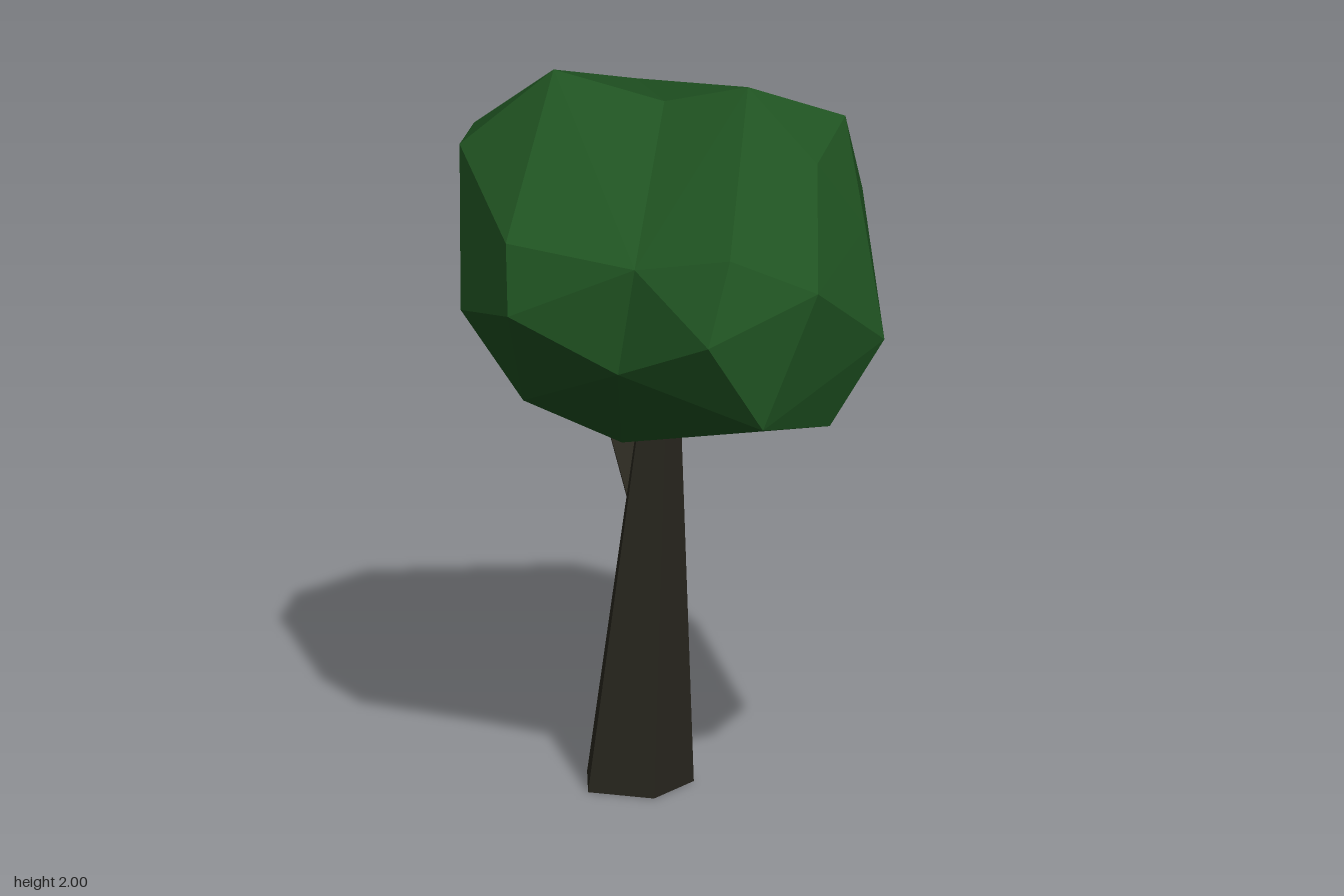
import * as THREE from 'three';
import { ConvexGeometry } from 'three/addons/geometries/ConvexGeometry.js';

const leafGreen = new THREE.MeshStandardMaterial({ color: 0x1f5221 });
const darkBark = new THREE.MeshStandardMaterial({ color: 0x2b2920 });

// Corner points of the foliage, including the low clump at the back
const FOLIAGE = [
  // crown
  [-0.25, 2.0, -0.12], [0.02, 1.92, 0], [0.2, 1.99, 0.16], [0.465, 1.89, 0.185], [0.06, 1.87, -0.355],
  // left side
  [0.545, 1.65, 0.09], [0.535, 1.66, -0.3], [0.535, 1.34, -0.3], [0.4, 1.7, -0.465], [0.38, 1.27, -0.01],
  // front
  [0.44, 1.39, 0.58], [0.21, 1.58, 0.71], [-0.09, 1.45, 0.685], [0.06, 1.21, 0.695], [0, 1.66, 0.6],
  [0.32, 1.83, 0.38], [0.455, 1.64, 0.38], [-0.25, 1.31, 0.41], [-0.21, 1.605, 0.43],
  // right side
  [-0.51, 1.455, 0.265], [-0.5, 1.645, 0.22], [-0.545, 1.39, -0.02], [-0.485, 1.79, -0.205], [-0.41, 1.16, 0.1],
  // back
  [-0.38, 1.78, -0.395], [-0.135, 1.81, -0.495], [0.13, 1.755, -0.48], [-0.2, 1.41, -0.46],
  // underside
  [-0.14, 1.02, 0.12], [0.1, 1.05, 0], [0.28, 1.08, 0.2], [0.29, 1.16, 0.57],
  [-0.05, 1.1, -0.19], [0.15, 1.12, -0.19], [-0.25, 1.25, -0.26],
  // back clump
  [-0.17, 1.17, -0.71], [0.14, 1.11, -0.67], [0.22, 1.335, -0.545], [-0.03, 1.47, -0.59],
  [-0.29, 1.13, -0.49], [0.04, 0.955, -0.45], [0.25, 1.2, -0.37],
].map((p) => new THREE.Vector3(...p));

// Flat facets: every triangle keeps its own normal
function faceted(geometry) {
  const flat = geometry.index ? geometry.toNonIndexed() : geometry;
  flat.computeVertexNormals();
  return flat;
}

// Connect the points on a sphere around a centre, then move each corner back to its true place
function starShape(points, centre) {
  const directions = points.map((p) => p.clone().sub(centre).normalize());
  const geometry = new ConvexGeometry(directions);
  const position = geometry.attributes.position;
  const v = new THREE.Vector3();
  for (let i = 0; i < position.count; i++) {
    v.fromBufferAttribute(position, i);
    let best = 0;
    directions.forEach((d, k) => {
      if (d.dot(v) > directions[best].dot(v)) best = k;
    });
    position.setXYZ(i, points[best].x, points[best].y, points[best].z);
  }
  return faceted(geometry);
}

function addMesh(group, name, geometry, material) {
  const mesh = new THREE.Mesh(geometry, material);
  mesh.name = name;
  group.add(mesh);
  return mesh;
}

export function createModel() {
  const tree = new THREE.Group();
  tree.name = 'tree';

  addMesh(tree, 'foliage', starShape(FOLIAGE, new THREE.Vector3(0, 1.46, 0.02)), leafGreen);

  // Five-sided trunk, leaning forwards with level ends
  const height = 1.1;
  const trunk = new THREE.CylinderGeometry(0.06, 0.156, height, 5);
  trunk.translate(0, height / 2, 0);
  const p = trunk.attributes.position;
  for (let i = 0; i < p.count; i++) p.setZ(i, p.getZ(i) - 0.08 + (0.19 * p.getY(i)) / height);
  trunk.translate(-0.035, 0, 0);
  addMesh(tree, 'trunk', faceted(trunk), darkBark);

  // Branch rising backwards into the clump
  const start = new THREE.Vector3(-0.036, 0.766, 0.06);
  const end = new THREE.Vector3(-0.03, 1.07, -0.42);
  const along = end.clone().sub(start);
  const branch = addMesh(tree, 'branch', faceted(new THREE.CylinderGeometry(0.018, 0.056, along.length(), 5)), darkBark);
  branch.position.copy(start).add(end).multiplyScalar(0.5);
  branch.quaternion.setFromUnitVectors(new THREE.Vector3(0, 1, 0), along.normalize());

  return tree;
}
